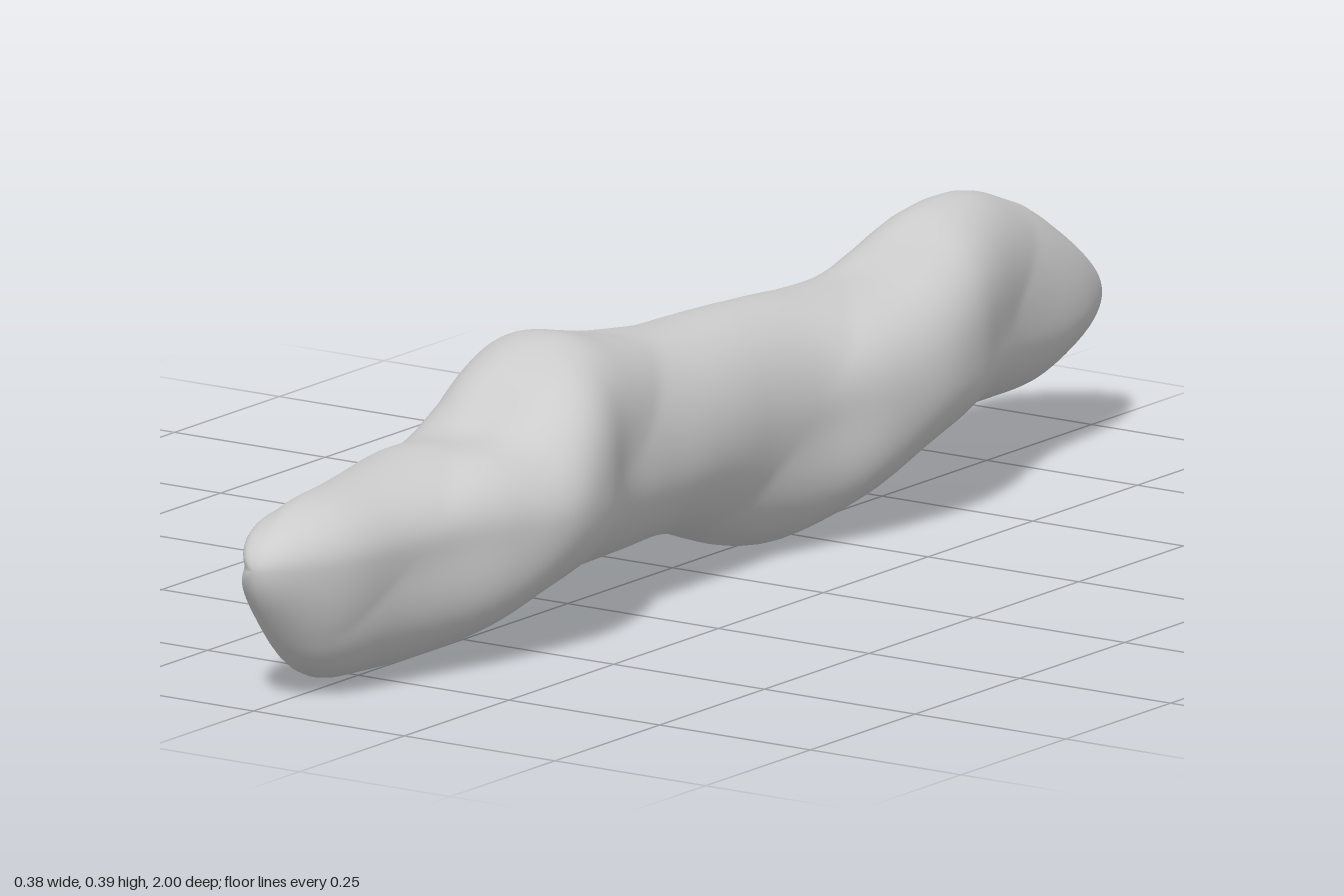
import * as THREE from 'three';
import { mergeVertices } from 'three/addons/utils/BufferGeometryUtils.js';

const AXIS_Y = 0.195;

// Reach from the axis towards [+x, up, -x, down], every 0.1 from z = 1 to z = -1
const SECTIONS = [
  [0.085, 0.075, 0.065, 0.12], [0.10, 0.08, 0.075, 0.178], [0.105, 0.08, 0.088, 0.183],
  [0.125, 0.085, 0.11, 0.183], [0.16, 0.094, 0.13, 0.165], [0.188, 0.10, 0.135, 0.133],
  [0.175, 0.165, 0.135, 0.13], [0.137, 0.194, 0.148, 0.135], [0.13, 0.172, 0.178, 0.134],
  [0.13, 0.15, 0.19, 0.131], [0.125, 0.145, 0.18, 0.147], [0.12, 0.147, 0.145, 0.183],
  [0.13, 0.145, 0.11, 0.194], [0.165, 0.138, 0.107, 0.155], [0.18, 0.138, 0.105, 0.115],
  [0.165, 0.16, 0.102, 0.10], [0.13, 0.19, 0.10, 0.095], [0.10, 0.193, 0.10, 0.10],
  [0.085, 0.16, 0.117, 0.10], [0.08, 0.115, 0.115, 0.08], [0.07, 0.08, 0.09, 0.07],
];

// One smooth spline per direction
const reach = [0, 1, 2, 3].map((k) =>
  new THREE.SplineCurve(SECTIONS.map((s, i) => new THREE.Vector2(i, s[k]))));

function radiusAt(angle, z) {
  const t = THREE.MathUtils.clamp((1 - z) / 2, 0, 1);
  const c = Math.cos(angle), s = Math.sin(angle);
  const a = reach[c >= 0 ? 0 : 2].getPoint(t).y;
  const b = reach[s >= 0 ? 1 : 3].getPoint(t).y;
  // quarter ellipse, with the spiral ridge kept full between the four directions
  const ridge = -Math.PI / 2 + (0.75 - z) * 6.87;
  const swell = 0.02 * Math.sin(2 * angle) ** 2 * Math.max(0, Math.cos(angle - ridge));
  // rounded tips
  const e = Math.max(0, (Math.abs(z) - 0.8) / 0.2);
  const cap = Math.sqrt(Math.max(0, 1 - e * e));
  return cap * (1 / Math.hypot(c / a, s / b) + swell);
}

export function createModel() {
  const group = new THREE.Group();
  group.name = 'twistedRod';

  // Sphere stretched along z, each ring reshaped to its section
  const ball = new THREE.SphereGeometry(1, 72, 180).rotateX(Math.PI / 2);
  const pos = ball.attributes.position;
  for (let i = 0; i < pos.count; i++) {
    const z = pos.getZ(i);
    const angle = Math.atan2(pos.getY(i), pos.getX(i));
    const r = radiusAt(angle, z);
    pos.setXYZ(i, r * Math.cos(angle), AXIS_Y + r * Math.sin(angle), z);
  }
  // Weld the seam so the shading is smooth all round
  ball.deleteAttribute('uv');
  ball.deleteAttribute('normal');
  const geometry = mergeVertices(ball, 1e-5);
  geometry.computeVertexNormals();

  const body = new THREE.Mesh(geometry, new THREE.MeshStandardMaterial({ color: 0xcccccc }));
  body.name = 'spiralBody';
  group.add(body);
  return group;
}
